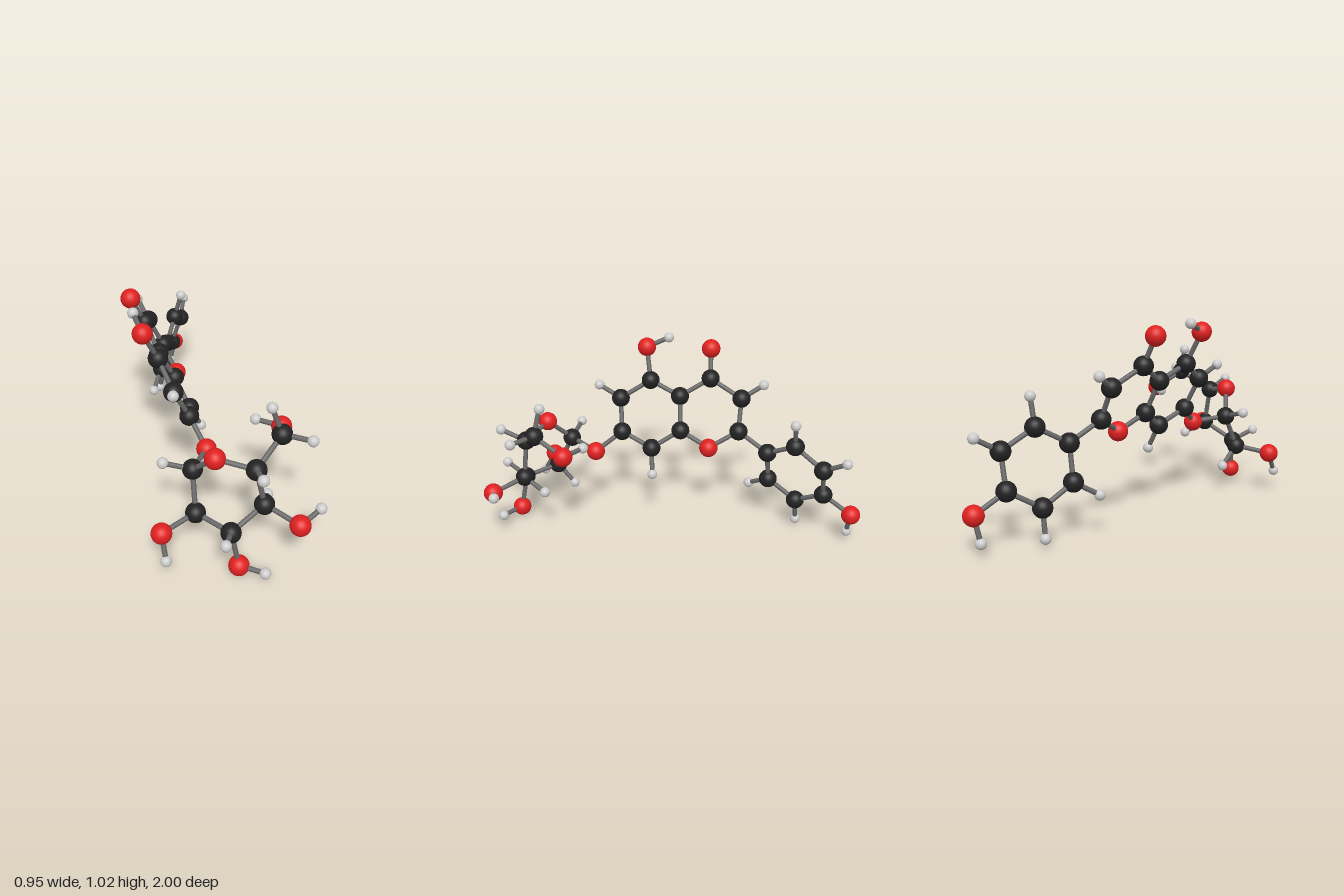
import * as THREE from 'three';

// Atom centres [x, y, z], grouped by element within each part of the molecule
const parts = {
  fusedRings: {
    carbon: [
      [-0.29, 0.785, 0.203], [-0.36, 0.81, -0.117], [-0.29, 0.714, 0.034],
      [-0.215, 0.545, 0.006], [-0.277, 0.56, -0.304], [-0.35, 0.721, -0.295],
      [-0.218, 0.688, 0.352], [-0.145, 0.522, 0.32], [-0.142, 0.45, 0.148],
    ],
    oxygen: [
      [-0.355, 0.949, 0.246], [-0.425, 0.956, -0.097],
      [-0.207, 0.469, -0.157], [-0.066, 0.416, 0.448],
    ],
    hydrogen: [
      [-0.401, 1.0, 0.135], [-0.408, 0.791, -0.401],
      [-0.218, 0.75, 0.477], [-0.084, 0.319, 0.124],
    ],
  },
  phenolRing: {
    carbon: [
      [-0.26, 0.466, -0.472], [-0.213, 0.553, -0.627], [-0.18, 0.456, -0.788],
      [-0.235, 0.281, -0.793], [-0.288, 0.188, -0.637], [-0.3, 0.286, -0.477],
    ],
    oxygen: [[-0.22, 0.193, -0.95]],
    hydrogen: [
      [-0.253, 0.068, -0.934], [-0.174, 0.692, -0.627], [-0.157, 0.527, -0.908],
      [-0.318, 0.048, -0.642], [-0.345, 0.214, -0.359],
    ],
  },
  sugarRing: {
    carbon: [
      [-0.137, 0.438, 0.624], [0.147, 0.534, 0.757], [0.271, 0.639, 0.638],
      [0.189, 0.332, 0.761], [0.031, 0.237, 0.841], [-0.128, 0.253, 0.718],
    ],
    oxygen: [
      [-0.037, 0.571, 0.716], [0.291, 0.558, 0.471], [0.342, 0.297, 0.871],
      [0.068, 0.052, 0.867], [-0.287, 0.227, 0.821],
    ],
    hydrogen: [
      [-0.275, 0.479, 0.623], [0.164, 0.587, 0.893], [0.222, 0.774, 0.62],
      [0.402, 0.644, 0.702], [0.172, 0.56, 0.412], [0.218, 0.277, 0.63],
      [0.445, 0.335, 0.805], [0, 0.288, 0.974], [0.187, 0.05, 0.922],
      [-0.128, 0.149, 0.62], [-0.269, 0.112, 0.883],
    ],
  },
};

const elements = {
  carbon: { color: 0x222222, radius: 0.049 },
  oxygen: { color: 0xe02020, radius: 0.05 },
  hydrogen: { color: 0xbfbfbf, radius: 0.027 },
};

export function createModel() {
  const model = new THREE.Group();
  model.name = 'molecule';
  const atoms = [];

  // Balls
  for (const el of Object.values(elements)) {
    el.material = new THREE.MeshStandardMaterial({ color: el.color });
    el.geometry = new THREE.SphereGeometry(el.radius, 28, 18);
  }
  for (const [partName, lists] of Object.entries(parts)) {
    const part = new THREE.Group();
    part.name = partName;
    for (const [element, centres] of Object.entries(lists)) {
      for (const c of centres) {
        const ball = new THREE.Mesh(elements[element].geometry, elements[element].material);
        ball.name = element + 'Atom';
        ball.position.set(...c);
        part.add(ball);
        atoms.push({ p: ball.position, light: element === 'hydrogen' });
      }
    }
    model.add(part);
  }

  // Sticks join every pair of atoms within bonding distance
  const bonds = new THREE.Group();
  bonds.name = 'bonds';
  const stick = new THREE.CylinderGeometry(0.0125, 0.0125, 1, 14, 1, true);
  const stickMaterial = new THREE.MeshStandardMaterial({ color: 0x666666 });
  const up = new THREE.Vector3(0, 1, 0);
  atoms.forEach((a, i) => {
    for (const b of atoms.slice(i + 1)) {
      if (a.light && b.light) continue;
      const length = a.p.distanceTo(b.p);
      if (length > (a.light || b.light ? 0.16 : 0.22)) continue;
      const bond = new THREE.Mesh(stick, stickMaterial);
      bond.name = 'bond';
      bond.position.lerpVectors(a.p, b.p, 0.5);
      bond.quaternion.setFromUnitVectors(up, b.p.clone().sub(a.p).normalize());
      bond.scale.y = length;
      bonds.add(bond);
    }
  });
  model.add(bonds);
  return model;
}
